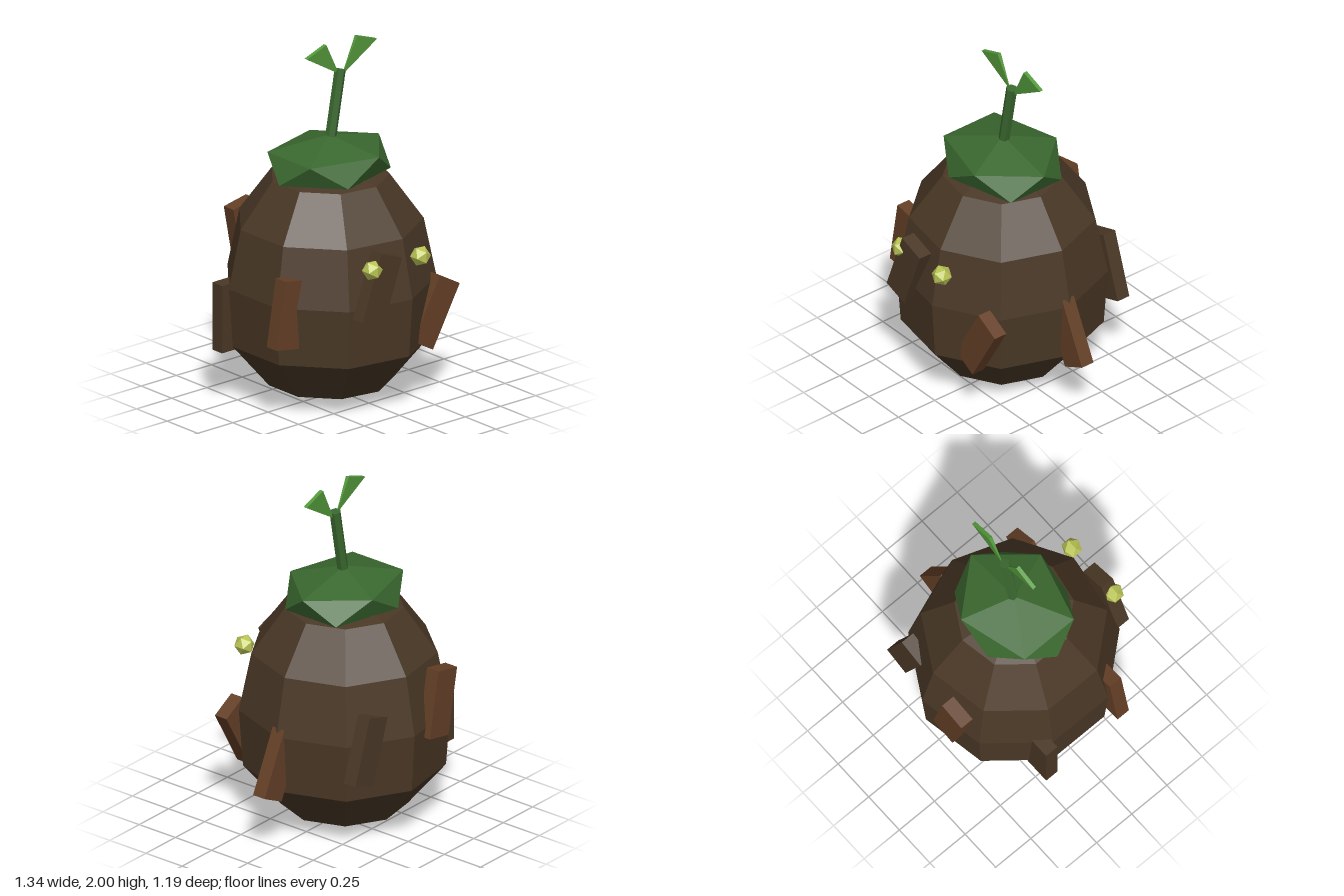
import * as THREE from 'three';
import { ConvexGeometry } from 'three/addons/geometries/ConvexGeometry.js';

function material(name, color) {
  const m = new THREE.MeshStandardMaterial({ color, flatShading: true });
  m.name = name;
  return m;
}

export function createModel() {
  const bark = material('dark bark', 0x4a3826);
  const wood = material('reddish wood', 0x643f26);
  const moss = material('moss green', 0x3a682f);
  const leafGreen = material('leaf green', 0x549a3c);
  const glow = material('yellow green', 0xb9c455);

  const model = new THREE.Group();
  model.name = 'sproutCreature';
  const CX = -0.055, CZ = -0.013; // shared axis of body and cap

  const add = (name, geometry, mat, x = 0, y = 0, z = 0, tilt = 0) => {
    const mesh = new THREE.Mesh(geometry, mat);
    mesh.name = name;
    mesh.position.set(x, y, z);
    mesh.rotation.z = tilt;
    model.add(mesh);
    return mesh;
  };

  // Nine-sided egg body, a corner facing +x
  const profile = [[0, 0.003], [0.345, 0.09], [0.553, 0.338], [0.576, 0.67], [0.508, 1.0], [0.325, 1.255], [0, 1.335]]
    .map(([r, y]) => new THREE.Vector2(r, y));
  add('body', new THREE.LatheGeometry(profile, 9, Math.PI / 2), bark, CX, 0, CZ);

  // Bark slabs stuck into the body: name, material, x, y, z, tilt
  const slabs = [
    ['frontBarkSlab', bark, -0.182, 0.782, 0.53, -0.347],
    ['frontLeftWoodSlab', wood, 0.298, 0.508, 0.42, -0.517],
    ['leftWoodSlab', wood, 0.515, 0.51, -0.013, 0.45],
    ['rightWoodSlab', wood, -0.56, 0.645, 0.226, -0.167],
    ['rightBarkSlab', bark, -0.56, 0.505, -0.255, 0],
    ['backWoodSlab', wood, -0.18, 0.79, -0.558, 0.19],
    ['backLeftBarkSlab', bark, 0.3, 0.645, -0.45, 0.32],
  ];
  for (const [name, mat, x, y, z, tilt] of slabs) {
    add(name, new THREE.BoxGeometry(0.16, 0.385, 0.08), mat, x, y, z, tilt);
  }

  // Eyes
  for (const [name, x] of [['rightEye', -0.23], ['leftEye', 0.112]]) {
    add(name, new THREE.IcosahedronGeometry(0.057, 0), glow, x, 0.9, 0.542);
  }

  // Flattened cap: two staggered five-point rings and two poles
  const points = [new THREE.Vector3(0, 0.145, 0), new THREE.Vector3(0, -0.145, 0)];
  for (let i = 0; i < 10; i++) {
    const a = (i * Math.PI) / 5;
    points.push(new THREE.Vector3(0.354 * Math.cos(a), i % 2 ? -0.065 : 0.065, 0.298 * Math.sin(a)));
  }
  add('cap', new ConvexGeometry(points), moss, CX, 1.335, CZ);

  // Leaning stem
  add('stem', new THREE.CylinderGeometry(0.031, 0.031, 0.4, 6), moss, -0.012, 1.635, CZ, -0.18);

  // Two thin pyramid leaves, narrow at the stem
  const leaf = (name, apex, outer, upper) => {
    const pts = [new THREE.Vector3(...apex, 0)];
    for (const z of [-0.011, 0.011]) {
      pts.push(new THREE.Vector3(...outer, z), new THREE.Vector3(...upper, z));
    }
    add(name, new ConvexGeometry(pts), leafGreen, 0, 0, CZ);
  };
  leaf('rightLeaf', [0.015, 1.81], [-0.22, 1.95], [-0.083, 2.0]);
  leaf('leftLeaf', [0.035, 1.795], [0.277, 1.95], [0.138, 2.0]);

  return model;
}
